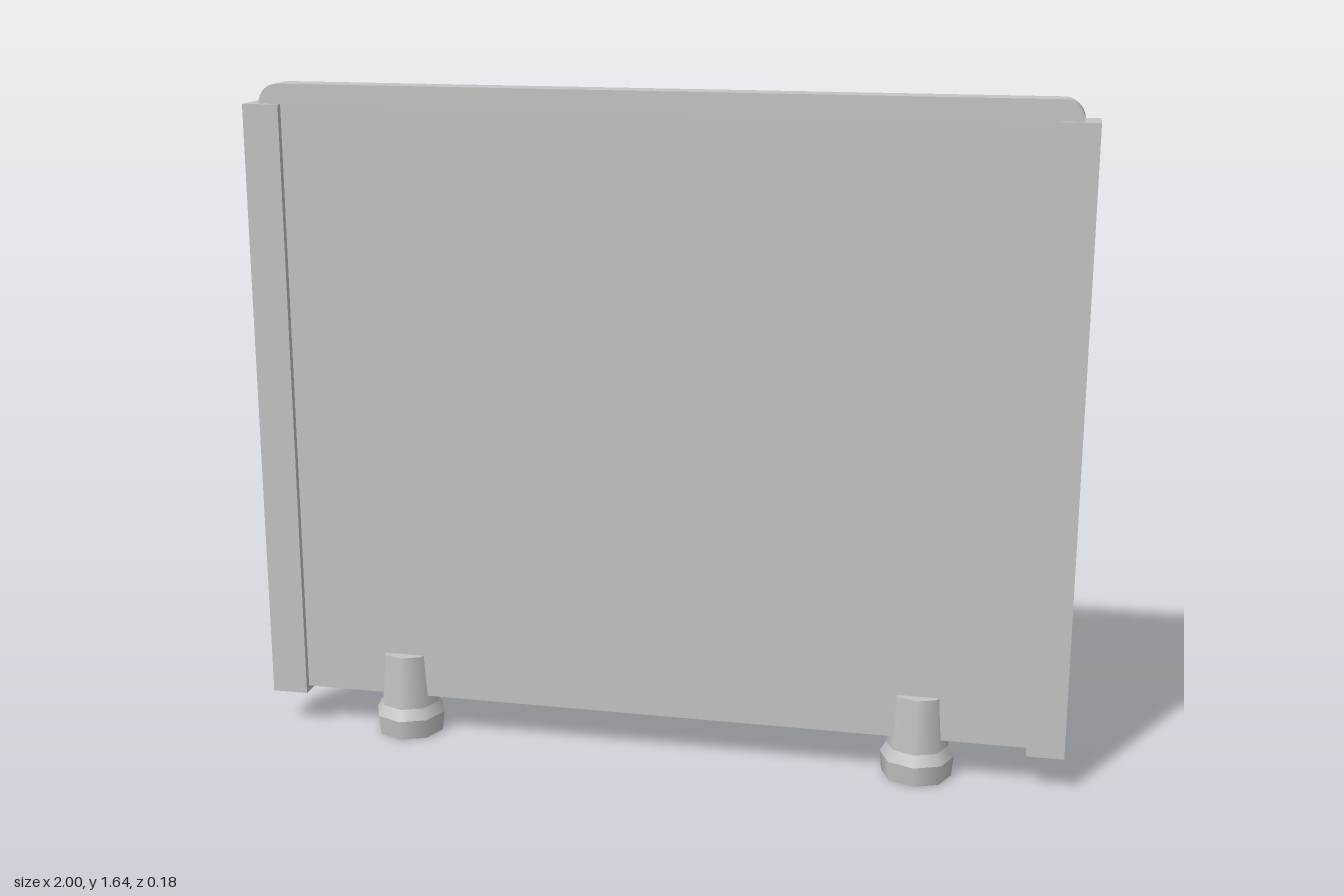
import * as THREE from 'three';

export function createModel() {
  const model = new THREE.Group();
  model.name = 'screenDivider';
  const grey = new THREE.MeshStandardMaterial({ color: 0xc4c4c4 });
  grey.name = 'light grey';

  const add = (parent, geometry, name) => {
    const mesh = new THREE.Mesh(geometry, grey);
    mesh.name = name;
    parent.add(mesh);
    return mesh;
  };

  // Main panel: a thin board with rounded top corners
  const half = 0.965, bottom = 0.105, top = 1.638, r = 0.05, depth = 0.07;
  const outline = new THREE.Shape();
  outline.moveTo(-half, bottom);
  outline.lineTo(half, bottom);
  outline.lineTo(half, top - r);
  outline.absarc(half - r, top - r, r, 0, Math.PI / 2, false);
  outline.lineTo(-half + r, top);
  outline.absarc(-half + r, top - r, r, Math.PI / 2, Math.PI, false);
  outline.closePath();
  const board = new THREE.ExtrudeGeometry(outline, { depth, bevelEnabled: false, curveSegments: 6 });
  board.translate(0, 0, -depth / 2);
  add(model, board, 'panel');

  // Foot profile from the floor up: [radius, height]
  const profile = [[0.085, 0], [0.09, 0.05], [0.075, 0.077], [0.066, 0.213]];
  const sides = 8;

  for (const [side, label] of [[1, 'left'], [-1, 'right']]) {
    // Edge rail clasping the panel
    const rail = add(model, new THREE.BoxGeometry(0.09, 1.5, 0.102), label + 'Rail');
    rail.position.set(side * 0.955, 0.84, 0);

    // Eight-sided foot, one smooth band per profile step
    const foot = new THREE.Group();
    foot.name = label + 'Foot';
    foot.position.x = side * 0.648;
    ['footBase', 'footChamfer', 'footPost'].forEach((name, i) => {
      const [r0, y0] = profile[i], [r1, y1] = profile[i + 1];
      const band = add(foot, new THREE.CylinderGeometry(r1, r0, y1 - y0, sides, 1, true), name);
      band.position.y = (y0 + y1) / 2;
    });

    // Flat ends of the foot
    const sole = add(foot, new THREE.CircleGeometry(profile[0][0], sides), 'footSole');
    sole.rotation.x = Math.PI / 2;
    const cap = add(foot, new THREE.CircleGeometry(profile[3][0], sides), 'footCap');
    cap.rotation.x = -Math.PI / 2;
    cap.position.y = profile[3][1];
    model.add(foot);
  }
  return model;
}
